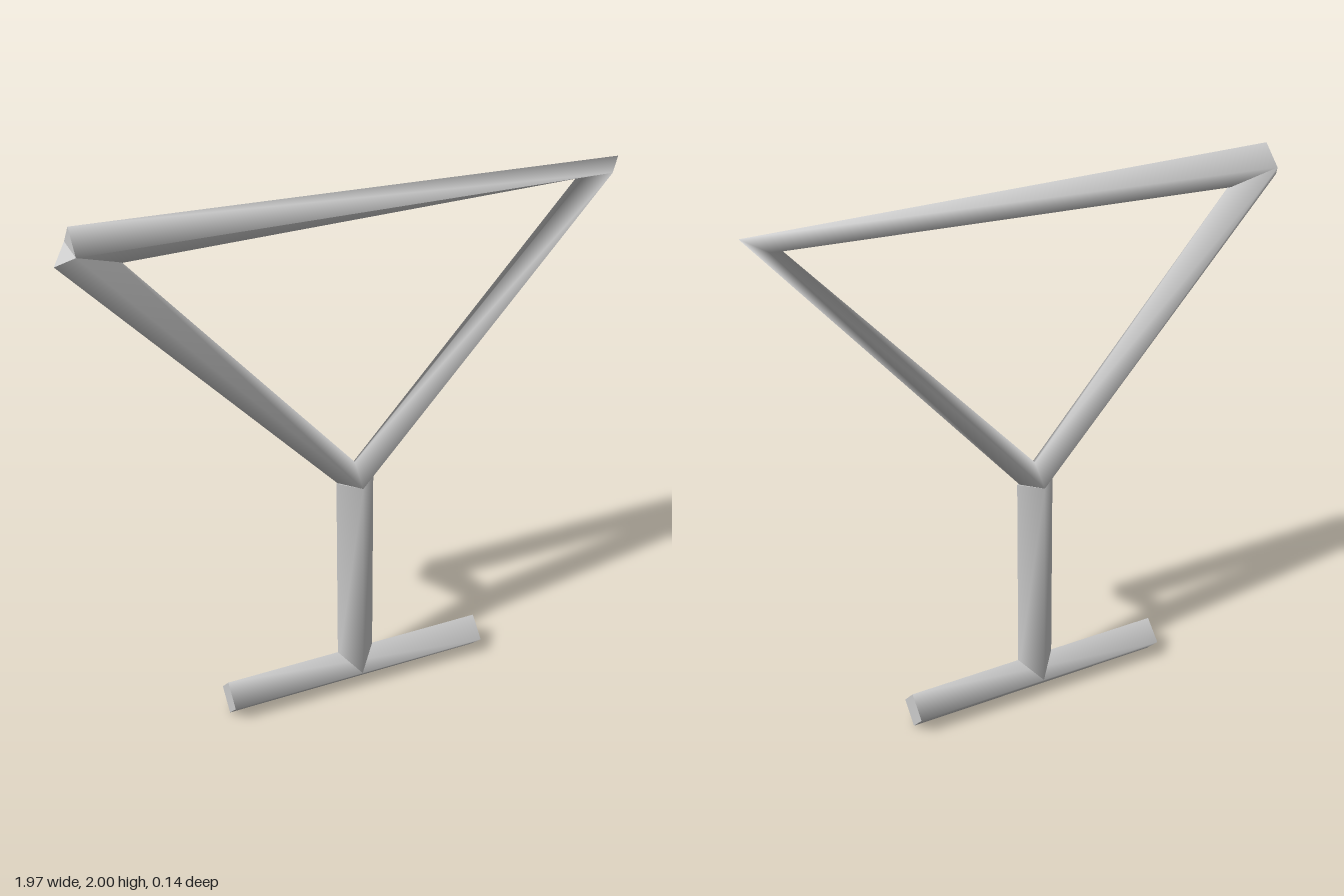
import * as THREE from 'three';

const R = 0.072; // half diagonal of the diamond-shaped rod

// Sweeps a diamond section along points in the xy plane; smooth sides, sharp flat caps.
function rod(name, points, material) {
  const pts = points.map(([x, y]) => new THREE.Vector3(x, y, 0));
  const zAxis = new THREE.Vector3(0, 0, 1);
  const last = pts.length - 1;
  const pos = [], index = [];

  const ring = (i) => {
    const t = new THREE.Vector3();
    if (i > 0) t.add(pts[i].clone().sub(pts[i - 1]).normalize());
    if (i < last) t.add(pts[i + 1].clone().sub(pts[i]).normalize());
    const n = zAxis.clone().cross(t.normalize());
    for (let k = 0; k < 4; k++) {
      const a = k * Math.PI / 2;
      const p = pts[i].clone().addScaledVector(n, R * Math.cos(a)).addScaledVector(zAxis, R * Math.sin(a));
      pos.push(p.x, p.y, p.z);
    }
  };

  // sides
  for (let i = 0; i <= last; i++) ring(i);
  for (let i = 0; i < last; i++) {
    for (let k = 0; k < 4; k++) {
      const a = i * 4 + k, b = i * 4 + (k + 1) % 4;
      index.push(a, b, b + 4, a, b + 4, a + 4);
    }
  }

  // caps, with their own vertices
  const s = pos.length / 3;
  ring(0);
  ring(last);
  index.push(s, s + 2, s + 1, s, s + 3, s + 2);
  index.push(s + 4, s + 5, s + 6, s + 4, s + 6, s + 7);

  const geometry = new THREE.BufferGeometry();
  geometry.setAttribute('position', new THREE.Float32BufferAttribute(pos, 3));
  geometry.setIndex(index);
  geometry.computeVertexNormals();
  const mesh = new THREE.Mesh(geometry, material);
  mesh.name = name;
  return mesh;
}

export function createModel() {
  const group = new THREE.Group();
  group.name = 'cocktailGlass';
  const grey = new THREE.MeshStandardMaterial({ color: 0xcccccc });
  grey.name = 'light grey';

  // triangular bowl outline: down the slope, up the other side, back along the rim
  group.add(rod('bowl', [[-0.932, 1.928], [-0.007, 0.9], [0.918, 1.928], [-0.932, 1.928]], grey));
  // upright stem, sunk into the foot
  group.add(rod('stem', [[-0.007, 0.072], [-0.007, 0.9]], grey));
  // horizontal foot
  group.add(rod('foot', [[-0.522, R], [0.505, R]], grey));
  return group;
}
